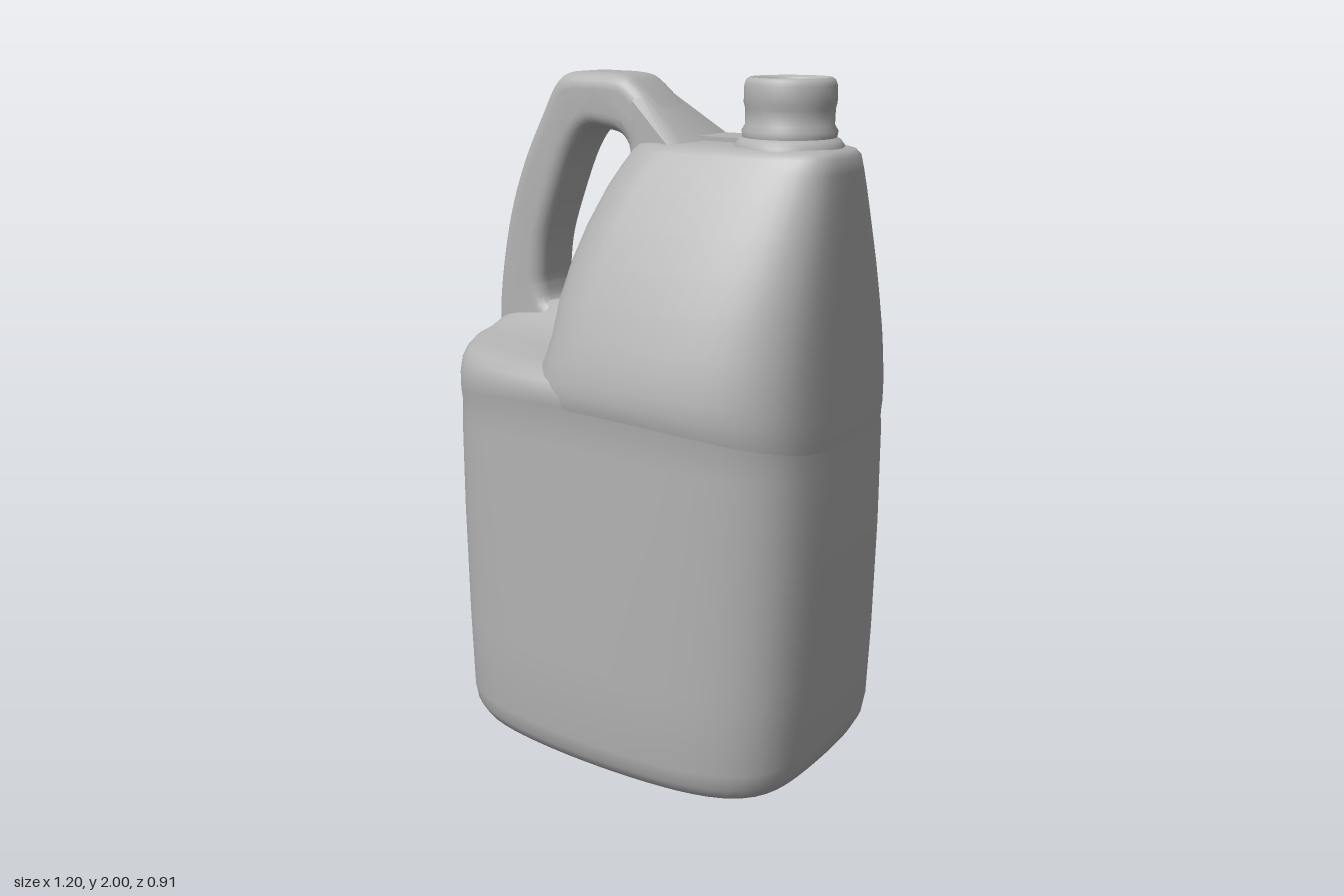
import * as THREE from 'three';
import { toCreasedNormals } from 'three/addons/utils/BufferGeometryUtils.js';
import { ConvexGeometry } from 'three/addons/geometries/ConvexGeometry.js';

const plastic = new THREE.MeshStandardMaterial({ color: 0xb2b2b2 });
plastic.name = 'grey plastic';

function part(name, geometry) {
  const mesh = new THREE.Mesh(geometry, plastic);
  mesh.name = name;
  return mesh;
}

// Loft through bowed, rounded rectangles: [y, centreX, leftX, rightX, halfDepth, sag at the ends, centreZ]
function loft(rings, leftPower = 6, sides = 96) {
  const pos = [], index = [];
  for (const [y, cx, x0, x1, hz, sag = 0, cz = 0] of rings) {
    for (let j = 0; j < sides; j++) {
      const a = (j / sides) * Math.PI * 2;
      const c = Math.cos(a), s = Math.sin(a), n = c < 0 ? leftPower : 6;
      const r = (Math.abs(c) ** n + Math.abs(s) ** n) ** (-1 / n);
      const u = c * r, w = s * r;
      const x = cx + u * (u > 0 ? x1 - cx : cx - x0) * (1 - 0.05 * w * w);
      const bow = 1 - 0.18 * (x / 0.6) ** 2;
      pos.push(x, y - sag * (x / 0.6) ** 2, cz + w * hz * bow);
    }
  }
  for (let i = 0; i < rings.length - 1; i++) {
    for (let j = 0; j < sides; j++) {
      const k = (j + 1) % sides;
      const a = i * sides + j, b = i * sides + k, c = a + sides, d = b + sides;
      index.push(a, c, b, b, c, d);
    }
  }
  // end caps
  const first = rings[0], last = rings[rings.length - 1];
  const bottom = pos.length / 3, top = bottom + 1, row = (rings.length - 1) * sides;
  pos.push(first[1], first[0], first[6] ?? 0, last[1], last[0], last[6] ?? 0);
  for (let j = 0; j < sides; j++) {
    const k = (j + 1) % sides;
    index.push(bottom, j, k, top, row + k, row + j);
  }
  const g = new THREE.BufferGeometry();
  g.setAttribute('position', new THREE.Float32BufferAttribute(pos, 3));
  g.setIndex(index);
  return toCreasedNormals(g, 0.9);
}

// Smooth curve sampled into points
function smooth(points, n) {
  return new THREE.SplineCurve(points.map(p => new THREE.Vector2(...p))).getPoints(n);
}

function handleGeometry() {
  const outer = smooth([
    [-0.58, 1.1], [-0.582, 1.25], [-0.565, 1.4], [-0.525, 1.58], [-0.465, 1.74],
    [-0.385, 1.89], [-0.34, 1.965], [-0.29, 1.997], [-0.2, 2], [-0.1, 1.995],
    [-0.05, 1.97], [0.03, 1.9], [0.1, 1.84], [0.15, 1.8]], 60);
  const shape = new THREE.Shape([...outer, new THREE.Vector2(0.15, 1.1)]);
  const grip = smooth([
    [-0.405, 1.38], [-0.385, 1.32], [-0.32, 1.308], [-0.245, 1.315], [-0.21, 1.38],
    [-0.185, 1.52], [-0.13, 1.65], [-0.08, 1.77], [-0.1, 1.825], [-0.16, 1.842],
    [-0.225, 1.84], [-0.285, 1.77], [-0.35, 1.62], [-0.39, 1.5], [-0.405, 1.38]], 60);
  shape.holes.push(new THREE.Path(grip.slice(0, -1)));
  const g = new THREE.ExtrudeGeometry(shape, {
    depth: 0.1, bevelThickness: 0.045, bevelSize: 0.045, bevelOffset: -0.045, bevelSegments: 6
  });
  g.translate(0, 0, -0.038);
  g.deleteAttribute('uv');
  g.deleteAttribute('normal');
  return toCreasedNormals(g, 0.8);
}

// Sloping block that widens from the handle to the spout deck
function rampGeometry() {
  const points = [];
  for (const side of [-1, 1]) {
    for (const [x, y, z] of [
      [-0.07, 1.975, 0.055], [-0.055, 1.93, 0.092], [-0.045, 1.84, 0.1], [0, 1.74, 0.13],
      [0.1, 1.84, 0.13], [0.11, 1.82, 0.158], [0.12, 1.74, 0.16], [0.14, 1.82, 0.13]]) {
      points.push(new THREE.Vector3(x, y, 0.013 + side * z));
    }
  }
  return toCreasedNormals(new ConvexGeometry(points), 0.7);
}

export function createModel() {
  const jug = new THREE.Group();
  jug.name = 'jug';

  // Lower tank with a lip, then a shoulder rising into the foot of the handle
  jug.add(part('lowerBody', loft([
    [0.003, 0, -0.46, 0.46, 0.33],
    [0.014, 0, -0.52, 0.52, 0.39],
    [0.035, 0, -0.555, 0.555, 0.425],
    [0.07, 0, -0.573, 0.573, 0.447],
    [0.12, 0, -0.582, 0.582, 0.455],
    [0.35, 0, -0.593, 0.593, 0.454],
    [0.7, 0, -0.601, 0.601, 0.45],
    [1.0, 0, -0.6, 0.6, 0.446, 0.03],
    [1.085, 0, -0.595, 0.597, 0.444, 0.06],
    [1.125, 0, -0.595, 0.597, 0.452, 0.06],
    [1.16, 0, -0.592, 0.595, 0.455, 0.04],
    [1.19, 0, -0.588, 0.59, 0.443, 0.02],
    [1.21, 0, -0.584, 0.58, 0.415, 0.01],
    [1.222, 0, -0.581, 0.57, 0.36],
    [1.232, 0, -0.579, 0.56, 0.27],
    [1.25, 0, -0.577, 0.56, 0.185],
    [1.28, 0, -0.573, 0.55, 0.125],
    [1.32, 0, -0.56, 0.55, 0.085]])));

  // Upper tank beside the grip, tapering to the spout deck
  jug.add(part('upperBody', loft([
    [1.085, 0, -0.2, 0.597, 0.44, 0.06],
    [1.125, 0, -0.25, 0.598, 0.453, 0.06],
    [1.16, 0, -0.26, 0.597, 0.457, 0.04],
    [1.2, 0, -0.255, 0.596, 0.452, 0.03],
    [1.25, 0, -0.23, 0.595, 0.441, 0.02],
    [1.3, 0, -0.212, 0.594, 0.426, 0.01],
    [1.4, 0, -0.2, 0.592, 0.39, 0, 0.003],
    [1.5, 0.02, -0.183, 0.59, 0.347, 0, 0.005],
    [1.6, 0.04, -0.148, 0.587, 0.3, 0, 0.008],
    [1.7, 0.07, -0.105, 0.584, 0.246, 0, 0.011],
    [1.76, 0.1, -0.07, 0.581, 0.212, 0, 0.013],
    [1.8, 0.13, -0.045, 0.578, 0.186, 0, 0.015],
    [1.815, 0.15, -0.03, 0.565, 0.17, 0, 0.015],
    [1.822, 0.15, 0, 0.54, 0.15, 0, 0.015]], 3)));

  jug.add(part('handle', handleGeometry()));
  jug.add(part('handleRamp', rampGeometry()));

  // Low step between handle and spout
  const step = part('deckStep', new THREE.BoxGeometry(0.2, 0.03, 0.14));
  step.position.set(0.19, 1.819, -0.04);
  jug.add(step);

  // Hollow spout
  const profile = [
    [0.15, 1.8], [0.147, 1.825], [0.138, 1.838], [0.126, 1.845], [0.129, 1.862], [0.119, 1.878],
    [0.12, 1.92], [0.124, 1.935], [0.123, 1.98], [0.118, 1.994], [0.108, 2], [0.096, 1.995],
    [0.09, 1.98], [0.09, 1.835], [0, 1.835]].map(p => new THREE.Vector2(...p));
  const spout = part('spout', toCreasedNormals(new THREE.LatheGeometry(profile, 40), 0.8));
  spout.position.set(0.4, 0, 0.015);
  jug.add(spout);

  return jug;
}
